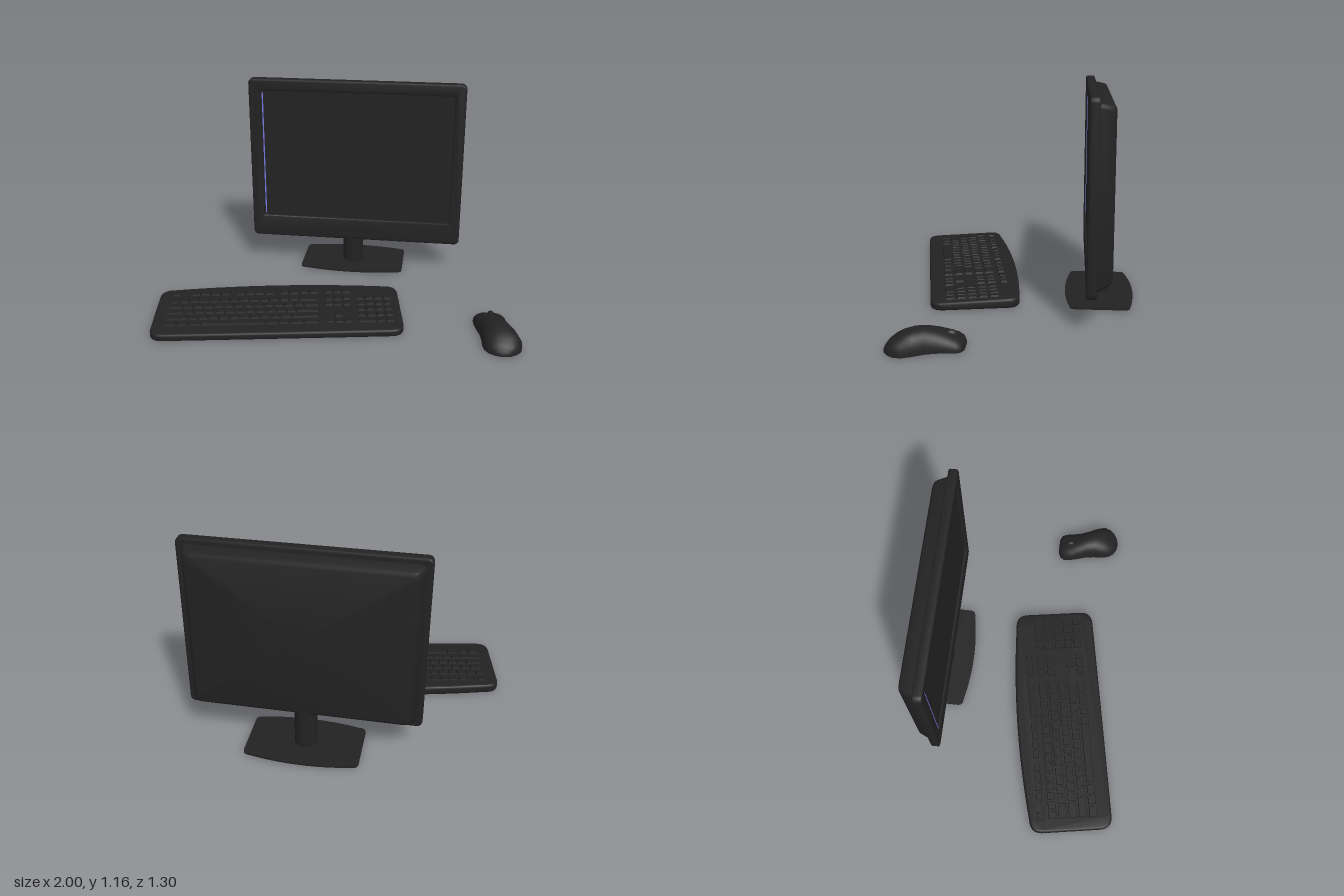
import * as THREE from 'three';
import { mergeGeometries, toCreasedNormals } from 'three/addons/utils/BufferGeometryUtils.js';

const black = new THREE.MeshStandardMaterial({ color: 0x222222 });
black.name = 'black plastic';
const blue = new THREE.MeshStandardMaterial({ color: 0x7878e0 });
blue.name = 'blue edge light';

function add(parent, name, geometry, material = black, x = 0, y = 0, z = 0) {
  const mesh = new THREE.Mesh(geometry, material);
  mesh.name = name;
  mesh.position.set(x, y, z);
  parent.add(mesh);
  return mesh;
}

// Outline points of a rounded rectangle, counter-clockwise
function roundedRect(x0, x1, y0, y1, r, steps = 6) {
  const pts = [];
  const corners = [[x1 - r, y0 + r], [x1 - r, y1 - r], [x0 + r, y1 - r], [x0 + r, y0 + r]];
  corners.forEach(([cx, cy], k) => {
    for (let i = 0; i <= steps; i++) {
      const a = (k - 1 + i / steps) * Math.PI / 2;
      pts.push(new THREE.Vector2(cx + r * Math.cos(a), cy + r * Math.sin(a)));
    }
  });
  return pts;
}

// Slab outline with rounded corners and bowed front and back edges
function bowedShape(hw, front, frontBow, back, backBow, r) {
  const s = new THREE.Shape();
  s.moveTo(-hw + r, -front);
  s.quadraticCurveTo(0, -front - 2 * frontBow, hw - r, -front);
  s.quadraticCurveTo(hw, -front, hw, -front + r);
  s.lineTo(hw, back - r);
  s.quadraticCurveTo(hw, back, hw - r, back);
  s.quadraticCurveTo(0, back + 2 * backBow, -hw + r, back);
  s.quadraticCurveTo(-hw, back, -hw, back - r);
  s.lineTo(-hw, -front + r);
  s.quadraticCurveTo(-hw, -front, -hw + r, -front);
  return s;
}

// Extrusion whose overall depth and outline include the bevel
function extrude(shape, depth, bevel, segments = 3) {
  return new THREE.ExtrudeGeometry(shape, {
    depth: depth - 2 * bevel, bevelEnabled: bevel > 0, bevelThickness: bevel, bevelSize: bevel,
    bevelOffset: -bevel, bevelSegments: segments, curveSegments: 16,
  }).translate(0, 0, bevel);
}

// Closed skin through rings of points, capped at both ends
function loft(rings, crease) {
  const n = rings[0].length, pos = [], idx = [];
  rings.forEach(ring => ring.forEach(p => pos.push(p.x, p.y, p.z)));
  for (let i = 0; i < rings.length - 1; i++) {
    for (let j = 0; j < n; j++) {
      const a = i * n + j, b = i * n + (j + 1) % n;
      idx.push(a, a + n, b, b, a + n, b + n);
    }
  }
  [0, rings.length - 1].forEach((i, end) => {
    const c = pos.length / 3, m = new THREE.Vector3();
    rings[i].forEach(p => m.addScaledVector(p, 1 / n));
    pos.push(m.x, m.y, m.z);
    for (let j = 0; j < n; j++) {
      const a = i * n + j, b = i * n + (j + 1) % n;
      if (end) idx.push(c, b, a); else idx.push(c, a, b);
    }
  });
  const g = new THREE.BufferGeometry();
  g.setAttribute('position', new THREE.Float32BufferAttribute(pos, 3));
  g.setIndex(idx);
  return toCreasedNormals(g, crease);
}

function buildMonitor() {
  const g = new THREE.Group();
  g.name = 'monitor';

  // Frame with the screen opening
  const frame = new THREE.Shape(roundedRect(-0.603, 0.663, 0.176, 1.165, 0.03));
  frame.holes.push(new THREE.Path(roundedRect(-0.535, 0.6, 0.31, 1.095, 0.002, 1).reverse()));
  add(g, 'screenFrame', toCreasedNormals(extrude(frame, 0.052, 0.01), 0.6), black, 0, 0, -0.438);
  add(g, 'screen', new THREE.BoxGeometry(1.15, 0.8, 0.02), black, 0.0325, 0.7025, -0.408);
  add(g, 'screenEdgeLight', new THREE.BoxGeometry(0.007, 0.76, 0.004), blue, -0.522, 0.7, -0.397);

  // Tapered back shell: z, left, right, bottom, top, corner radius
  const shell = [
    [-0.43, -0.575, 0.635, 0.2, 1.135, 0.03], [-0.445, -0.572, 0.632, 0.208, 1.133, 0.03],
    [-0.495, -0.552, 0.612, 0.228, 1.123, 0.03], [-0.508, -0.544, 0.604, 0.234, 1.117, 0.03],
    [-0.516, -0.53, 0.59, 0.246, 1.1, 0.03],
  ].map(([z, x0, x1, y0, y1, r]) => roundedRect(x0, x1, y0, y1, r).map(p => new THREE.Vector3(p.x, p.y, z)));
  add(g, 'backShell', loft(shell, 0.5));

  // Stand
  add(g, 'standColumn', new THREE.CylinderGeometry(0.061, 0.061, 0.232, 32), black, 0.013, 0.128, -0.461);
  const base = extrude(bowedShape(0.31, 0.16, 0.028, 0.16, 0.028, 0.035), 0.01, 0).rotateX(-Math.PI / 2);
  add(g, 'standBase', toCreasedNormals(base, 0.6), black, 0.015, 0.006, -0.467);
  return g;
}

// Keycap with a narrower top
function keycap(x, z, w, d) {
  const k = new THREE.BoxGeometry(w, 0.016, d);
  const p = k.attributes.position;
  for (let i = 0; i < p.count; i++) {
    if (p.getY(i) > 0) {
      p.setX(i, p.getX(i) - Math.sign(p.getX(i)) * 0.005);
      p.setZ(i, p.getZ(i) - Math.sign(p.getZ(i)) * 0.005);
    }
  }
  k.computeVertexNormals();
  return k.translate(x, 0.002 + deckHeight(z), z);
}

// The keyboard deck rises toward the back
function deckHeight(z) {
  return 0.048 - 0.03 * z;
}

function buildKeyboard() {
  const g = new THREE.Group();
  g.name = 'keyboard';
  g.position.set(-0.31, 0, 0.3);
  g.rotation.y = THREE.MathUtils.degToRad(10);

  const body = extrude(bowedShape(0.672, 0.243, 0.001, 0.235, 0.034, 0.075), 0.048, 0.014, 4).rotateX(-Math.PI / 2);
  const p = body.attributes.position;
  for (let i = 0; i < p.count; i++) p.setY(i, p.getY(i) * deckHeight(p.getZ(i)) / 0.048);
  add(g, 'keyboardBody', toCreasedNormals(body, 0.6));

  // Key rows given as relative key widths; negative numbers are gaps
  const keys = [];
  const row = (x0, x1, z, widths, d = 0.05) => {
    const unit = (x1 - x0) / widths.reduce((s, w) => s + Math.abs(w), 0);
    let x = x0;
    widths.forEach(w => {
      const size = Math.abs(w) * unit;
      if (w > 0) keys.push(keycap(x + size / 2, z, size - 0.007, d));
      x += size;
    });
  };
  const ones = n => Array(n).fill(1);
  const z = [-0.17, -0.1, -0.041, 0.018, 0.077, 0.16].map((v, i) => i === 5 ? 0.136 : v);

  // Main block
  row(-0.605, 0.225, z[0], [1, -1, ...ones(4), -0.5, ...ones(4), -0.5, ...ones(4)], 0.038);
  row(-0.605, 0.225, z[1], [...ones(13), 2]);
  row(-0.605, 0.225, z[2], [1.5, ...ones(12), 1.5]);
  row(-0.605, 0.225, z[3], [1.75, ...ones(11), 2.25]);
  row(-0.605, 0.225, z[4], [2.25, ...ones(10), 2.75]);
  row(-0.605, 0.225, z[5], [1.3, 1.1, 1.2, 6.2, 1.2, 1.1, 1.4, 1.5]);

  // Navigation and arrow keys
  row(0.255, 0.405, z[0], ones(3), 0.038);
  row(0.255, 0.405, z[1], ones(3));
  row(0.255, 0.405, z[2], ones(3));
  row(0.255, 0.405, z[4], [-1, 1, -1]);
  row(0.255, 0.405, z[5], ones(3));

  // Number pad
  row(0.43, 0.63, z[1], ones(4));
  row(0.43, 0.63, z[2], ones(4));
  row(0.43, 0.63, z[3], ones(4));
  row(0.43, 0.63, z[4], ones(4));
  row(0.43, 0.63, z[5], [2, 1, 1]);
  add(g, 'keys', mergeGeometries(keys));
  return g;
}

function buildMouse() {
  const g = new THREE.Group();
  g.name = 'mouse';

  // Domed cross-sections: z, centre x, half width, height
  const rings = [
    [0.178, 0.84, 0.04, 0.03], [0.19, 0.84, 0.072, 0.046], [0.215, 0.838, 0.088, 0.06],
    [0.26, 0.842, 0.087, 0.077], [0.31, 0.852, 0.083, 0.094], [0.36, 0.868, 0.083, 0.106],
    [0.41, 0.885, 0.093, 0.107], [0.46, 0.896, 0.102, 0.094], [0.5, 0.897, 0.093, 0.073],
    [0.53, 0.895, 0.07, 0.048], [0.548, 0.895, 0.042, 0.024], [0.555, 0.895, 0.014, 0.008],
  ].map(([z, cx, hw, h]) => {
    const ring = [];
    for (let i = 0; i <= 20; i++) {
      const a = Math.PI * (1 - i / 20), c = Math.cos(a);
      ring.push(new THREE.Vector3(cx + hw * Math.sign(c) * Math.abs(c) ** 0.85, 0.004 + h * Math.abs(Math.sin(a)) ** 0.85, z));
    }
    return ring;
  });
  add(g, 'mouseBody', loft(rings, 1));

  // Scroll wheel
  const wheel = add(g, 'scrollWheel', new THREE.SphereGeometry(1, 20, 14), black, 0.843, 0.06, 0.248);
  wheel.scale.set(0.02, 0.029, 0.034);
  wheel.rotation.y = 0.15;
  return g;
}

export function createModel() {
  const model = new THREE.Group();
  model.name = 'desktopSet';
  model.add(buildMonitor(), buildKeyboard(), buildMouse());
  return model;
}
